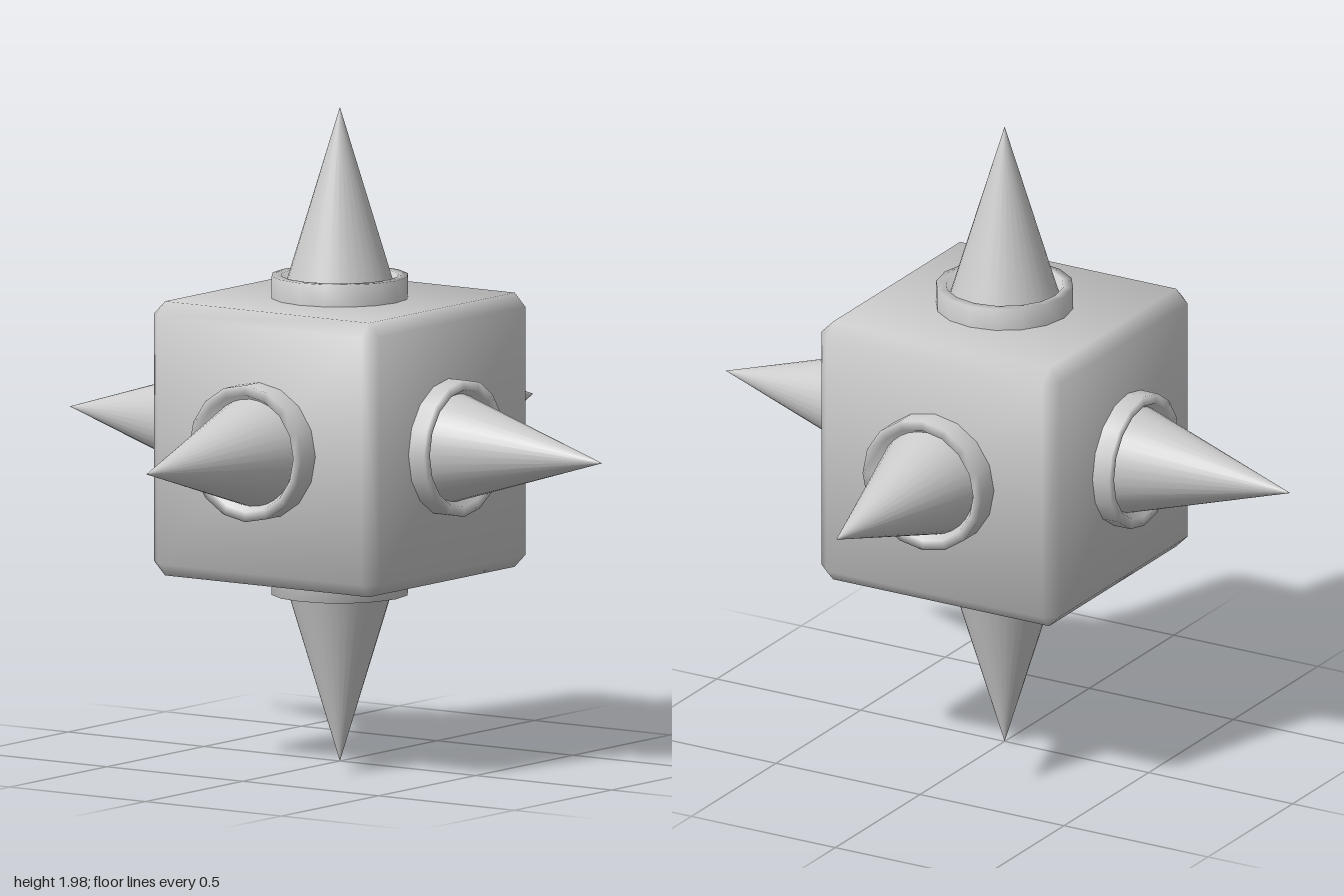
import * as THREE from 'three';
import { ConvexGeometry } from 'three/addons/geometries/ConvexGeometry.js';

const material = new THREE.MeshStandardMaterial({ color: 0xcccccc });
const CENTER_Y = 0.99;

// Cube with chamfered edges and soft normals that lean towards the corners
function createBody() {
  const h = 0.415, c = 0.375, signs = [-1, 1], points = [];
  for (const x of signs) for (const y of signs) for (const z of signs) {
    points.push(
      new THREE.Vector3(x * h, y * c, z * c),
      new THREE.Vector3(x * c, y * h, z * c),
      new THREE.Vector3(x * c, y * c, z * h));
  }
  const geometry = new ConvexGeometry(points);
  const p = geometry.attributes.position, n = geometry.attributes.normal;
  const v = new THREE.Vector3();
  const lean = (t) => Math.sign(t) * (Math.abs(t) > 0.4 ? 1 : 0.4);
  for (let i = 0; i < p.count; i++) {
    v.set(lean(p.getX(i)), lean(p.getY(i)), lean(p.getZ(i))).normalize();
    n.setXYZ(i, v.x, v.y, v.z);
  }
  const body = new THREE.Mesh(geometry, material);
  body.name = 'body';
  return body;
}

// Collar with a slightly recessed rim, and the cone that rises from it along +y
function createSpike(tip) {
  const spike = new THREE.Group();
  const rim = tip - 0.508;
  const profile = [[0.207, 0.39], [0.207, rim], [0.177, rim], [0.165, rim - 0.025], [0.13, rim - 0.025]]
    .map(([r, y]) => new THREE.Vector2(r, y));
  const collar = new THREE.Mesh(new THREE.LatheGeometry(profile, 16), material);
  collar.name = 'collar';

  const height = tip - 0.4;
  const cone = new THREE.Mesh(new THREE.ConeGeometry(height * 0.304, height, 32, 1, true), material);
  cone.position.y = 0.4 + height / 2;
  cone.name = 'cone';
  spike.add(collar, cone);
  return spike;
}

export function createModel() {
  const model = new THREE.Group();
  model.name = 'spikedCube';
  const body = createBody();
  body.position.y = CENTER_Y;
  model.add(body);

  // One spike per face: name, direction, tip distance, sideways offset
  const spikes = [
    ['topSpike', [0, 1, 0], 0.99, 0],
    ['bottomSpike', [0, -1, 0], 0.99, 0],
    ['leftSpike', [1, 0, 0], 0.995, 0],
    ['rightSpike', [-1, 0, 0], 0.995, 0],
    ['frontSpike', [0, 0, 1], 0.98, -0.02],
    ['backSpike', [0, 0, -1], 0.98, -0.02],
  ];
  const up = new THREE.Vector3(0, 1, 0);
  for (const [name, dir, tip, x] of spikes) {
    const spike = createSpike(tip);
    spike.name = name;
    spike.quaternion.setFromUnitVectors(up, new THREE.Vector3(...dir));
    spike.position.set(x, CENTER_Y, 0);
    model.add(spike);
  }
  return model;
}
